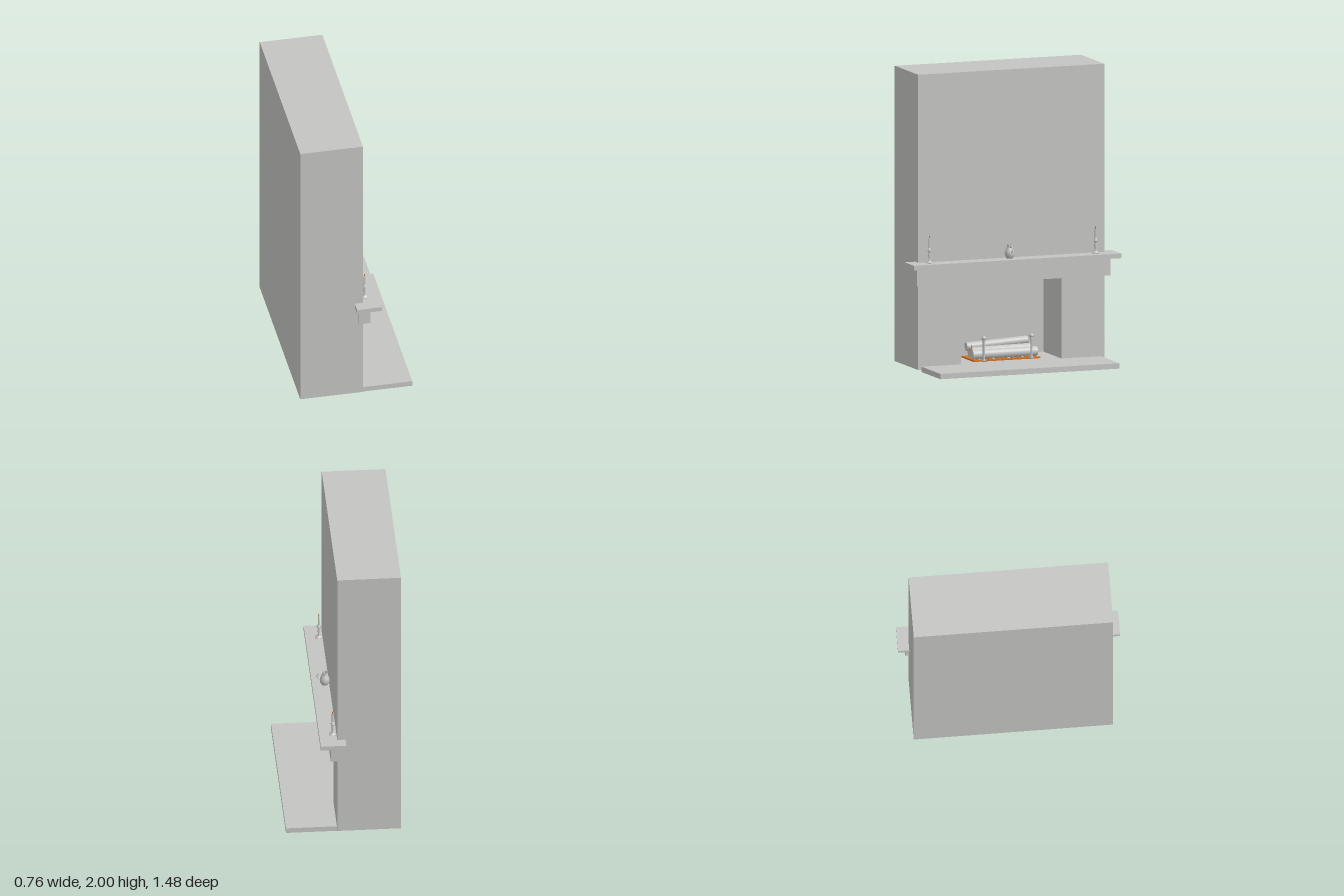
import * as THREE from 'three';

export function createModel() {
  const model = new THREE.Group();
  model.name = 'fireplace';
  const mat = (name, color) => {
    const m = new THREE.MeshStandardMaterial({ color });
    m.name = name;
    return m;
  };
  const grey = mat('stone grey', 0xc4c4c2);
  const orange = mat('ember orange', 0xd9701c);

  const add = (name, geo, material = grey, parent = model) => {
    const mesh = new THREE.Mesh(geo, material);
    mesh.name = name;
    parent.add(mesh);
    return mesh;
  };
  // Box given by its limits on each axis
  const box = (name, x0, x1, y0, y1, z0, z1, material = grey, parent = model) => {
    const m = add(name, new THREE.BoxGeometry(x1 - x0, y1 - y0, z1 - z0), material, parent);
    m.position.set((x0 + x1) / 2, (y0 + y1) / 2, (z0 + z1) / 2);
    return m;
  };
  const lathe = (pts, n = 20) =>
    new THREE.LatheGeometry(pts.map(p => new THREE.Vector2(p[0], p[1])), n);

  // Chimney breast with the firebox opening; its front faces +x
  const W = 0.665, backX = -0.29, frontX = 0.04;
  const wall = new THREE.Shape();
  wall.moveTo(-W, 0.015).lineTo(W, 0.015).lineTo(W, 2).lineTo(-W, 2).closePath();
  const hole = new THREE.Path();
  hole.moveTo(-0.375, 0.035).lineTo(-0.375, 0.583).lineTo(0.375, 0.583).lineTo(0.375, 0.035).closePath();
  wall.holes.push(hole);
  const breast = add('chimneyFront',
    new THREE.ExtrudeGeometry(wall, { depth: frontX - backX, bevelEnabled: false }));
  breast.rotation.y = Math.PI / 2;
  breast.position.x = backX;
  box('chimneyBack', -0.385, backX, 0.015, 2, -W, W);

  // Firebox side linings
  for (const s of [-1, 1]) {
    const zs = [s * 0.36, s * 0.375].sort((a, b) => a - b);
    box('fireboxLining', backX, frontX, 0.035, 0.583, zs[0], zs[1]);
  }

  // Hearth and mantel
  box('hearth', frontX, 0.38, 0, 0.036, -0.64, 0.64);
  box('mantelBeam', 0.005, 0.085, 0.583, 0.705, -0.69, 0.69);
  box('mantelShelf', -0.015, 0.155, 0.705, 0.736, -0.74, 0.74);

  // Ember bed with loose coals
  box('emberBed', -0.25, -0.03, 0.035, 0.045, -0.235, 0.24, orange);
  for (let i = 0; i < 14; i++) {
    const coal = add('coal', new THREE.IcosahedronGeometry(0.009, 0), i % 3 ? orange : grey);
    coal.position.set(-0.042 - 0.012 * (i % 2), 0.046, -0.22 + i * 0.0345);
    coal.rotation.set(i, i * 2, 0);
  }

  // Logs: centre x and y, radius, length, tilt, yaw
  const logs = [
    [-0.078, 0.077, 0.034, 0.46, 0, 0],
    [-0.152, 0.085, 0.034, 0.44, 0.01, 0.04],
    [-0.215, 0.122, 0.03, 0.43, 0.06, -0.04],
  ];
  for (const [x, y, r, len, tilt, yaw] of logs) {
    const log = add('log', new THREE.CylinderGeometry(r, r, len, 18).rotateX(Math.PI / 2));
    log.position.set(x, y, 0.005);
    log.rotation.set(tilt, yaw, 0);
  }
  // Small flame at the log ends
  const lick = add('logFlame', new THREE.ConeGeometry(0.009, 0.04, 8), orange);
  lick.position.set(-0.115, 0.122, 0.222);

  // Andirons
  for (const z of [-0.168, 0.172]) {
    const iron = new THREE.Group();
    iron.name = 'andiron';
    iron.position.set(-0.02, 0.035, z);
    model.add(iron);
    add('andironPost', lathe([[0, 0], [0.013, 0], [0.013, 0.012], [0.008, 0.02],
      [0.008, 0.13], [0.012, 0.135], [0.012, 0.141], [0.006, 0.146]], 14), grey, iron);
    add('andironBall', new THREE.SphereGeometry(0.016, 16, 12), grey, iron).position.y = 0.157;
    box('andironBar', -0.2, 0, 0.012, 0.022, -0.006, 0.006, grey, iron);
  }

  // Candlesticks with lit candles
  for (const z of [-0.592, 0.595]) {
    const stick = new THREE.Group();
    stick.name = 'candlestick';
    stick.position.set(0.065, 0.736, z);
    model.add(stick);
    add('holder', lathe([[0, 0], [0.025, 0], [0.025, 0.004], [0.012, 0.01], [0.007, 0.02],
      [0.006, 0.04], [0.01, 0.05], [0.006, 0.06], [0.006, 0.073], [0.014, 0.08],
      [0.014, 0.084], [0.009, 0.086], [0.009, 0.1], [0, 0.1]]), grey, stick);
    add('candle', new THREE.CylinderGeometry(0.006, 0.007, 0.07, 14), grey, stick).position.y = 0.13;
    add('flame', lathe([[0, 0], [0.004, 0.006], [0.003, 0.013], [0, 0.024]], 10), orange, stick)
      .position.y = 0.162;
  }

  // Jug with its handle toward the room
  const jug = new THREE.Group();
  jug.name = 'jug';
  jug.position.set(0.07, 0.736, 0.024);
  model.add(jug);
  add('jugBody', lathe([[0, 0], [0.022, 0], [0.03, 0.015], [0.033, 0.033], [0.03, 0.05],
    [0.02, 0.068], [0.016, 0.078], [0.019, 0.094], [0.016, 0.094], [0.013, 0.078],
    [0.016, 0.066], [0, 0.05]], 24), grey, jug);
  const curve = new THREE.CatmullRomCurve3([[0.015, 0.072], [0.03, 0.083], [0.046, 0.078],
    [0.05, 0.06], [0.042, 0.045], [0.03, 0.042]].map(p => new THREE.Vector3(p[0], p[1], 0)));
  add('jugHandle', new THREE.TubeGeometry(curve, 20, 0.004, 8), grey, jug);

  return model;
}
